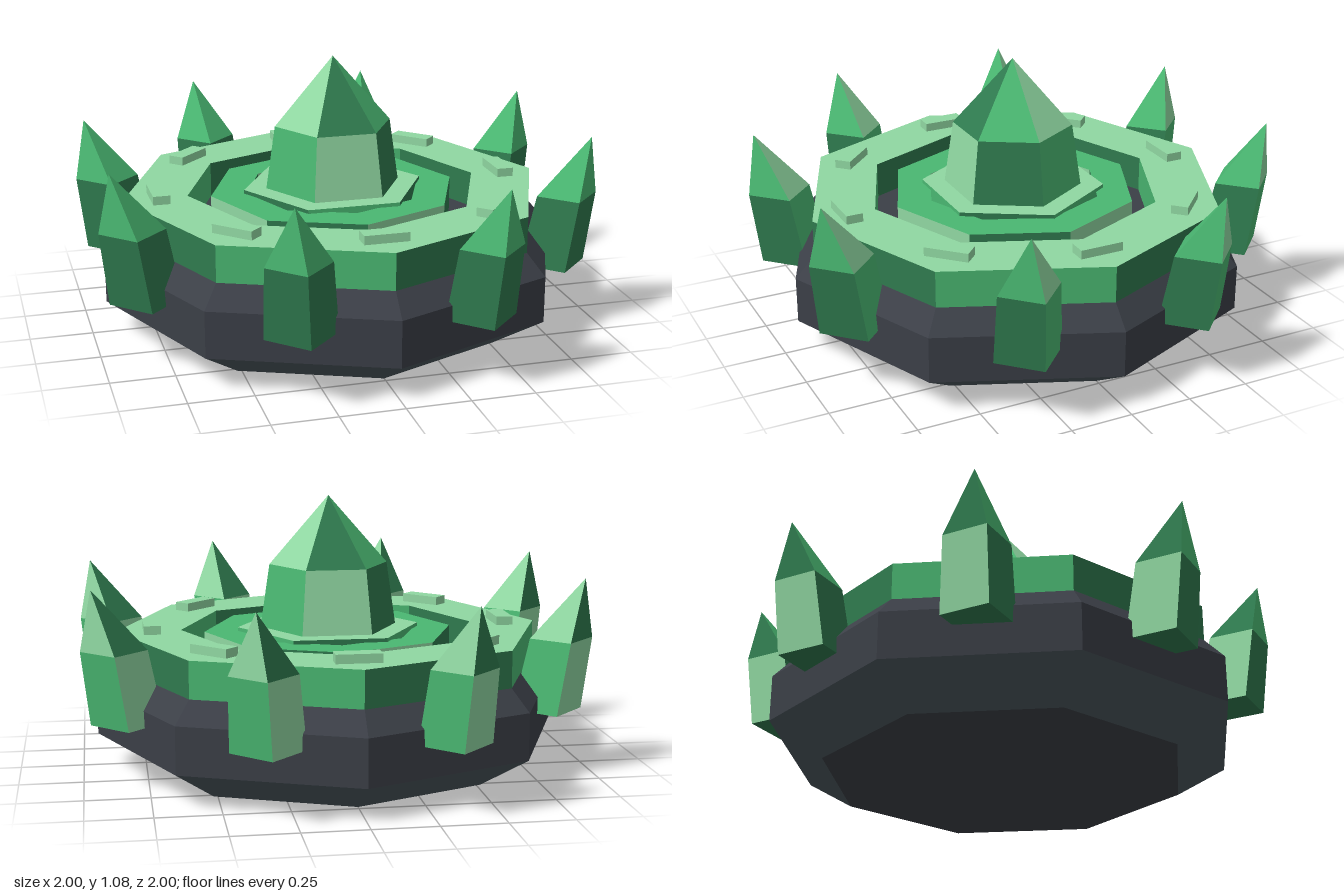
import * as THREE from 'three';

const COLORS = { darkGreen: 0x2f7a4e, midGreen: 0x4ab872, paleGreen: 0x90d8a2, stone: 0x3b3f47, slate: 0x4a565c };
const D = 0, M = 1, P = 2, STONE = 3, SLATE = 4;

// Faceted solid through a stack of polygon rings [radius, y, x, z];
// pick(row, side) gives the colour of each face.
function facets(rings, sides, start, pick) {
  const pos = [];
  const geo = new THREE.BufferGeometry();
  const at = ([r, y, x = 0, z = 0], s) => {
    const a = start + (s / sides) * Math.PI * 2;
    return [x + r * Math.sin(a), y, z + r * Math.cos(a)];
  };
  for (let i = 0; i < rings.length - 1; i++) {
    for (let s = 0; s < sides; s++) {
      const a = at(rings[i], s), b = at(rings[i], s + 1);
      const c = at(rings[i + 1], s + 1), d = at(rings[i + 1], s);
      const first = pos.length / 3;
      if (rings[i][0] > 0) pos.push(...a, ...b, ...c);
      if (rings[i + 1][0] > 0) pos.push(...a, ...c, ...d);
      geo.addGroup(first, pos.length / 3 - first, pick(i, s));
    }
  }
  geo.setAttribute('position', new THREE.Float32BufferAttribute(pos, 3));
  geo.computeVertexNormals();
  return geo;
}

export function createModel() {
  const model = new THREE.Group();
  model.name = 'crystalPedestal';
  const mats = Object.entries(COLORS).map(([name, color]) => {
    const m = new THREE.MeshStandardMaterial({ color });
    m.name = name;
    return m;
  });
  const add = (name, geo, mat = mats) => {
    const mesh = new THREE.Mesh(geo, mat);
    mesh.name = name;
    model.add(mesh);
    return mesh;
  };

  // Octagonal stone base with bevelled foot and shoulder
  add('stoneBase', facets([[0, 0], [0.73, 0], [0.94, 0.13], [0.94, 0.315], [0.86, 0.4], [0, 0.4]], 8, 0,
    (row) => (row === 1 ? SLATE : STONE)));

  // Octagonal rings: one colour on top, the two others alternating on the walls
  const ring = (name, inner, outer, y0, y1, top) => add(name,
    facets([[inner, y0], [outer, y0], [outer, y1], [inner, y1], [inner, y0]], 8, 0,
      (row, s) => (row === 2 ? top : (top + 1 + (s % 2)) % 3)));
  ring('outerRing', 0.6, 0.86, 0.4, 0.545, P);
  ring('innerRing', 0.36, 0.505, 0.4, 0.535, M);

  // Hexagonal bed under the main crystal
  const hexStart = Math.PI / 6;
  add('crystalBed', facets([[0.37, 0.4], [0.37, 0.55], [0, 0.55]], 6, hexStart,
    (row, s) => (row === 1 ? P : s % 2)));

  // Crystal colours step through the three greens, shifted by one on the tip
  const crystalColor = (row, s) => (row === 0 ? D : (s + row - 1) % 3);

  // Main crystal
  add('mainCrystal', facets([[0, 0.5], [0.285, 0.5], [0.24, 0.805], [0, 1.08]], 6, hexStart, crystalColor));

  for (let k = 0; k < 8; k++) {
    // Raised studs on the outer ring
    const a = (k * Math.PI) / 4;
    const stud = add('stud', new THREE.BoxGeometry(0.175, 0.05, 0.068), mats[P]);
    stud.position.set(0.717 * Math.sin(a), 0.555, 0.717 * Math.cos(a));
    stud.rotation.y = a;

    // Outward-leaning crystals around the rim
    const b = a + Math.PI / 8;
    const level = (r, y, dist) => [r, y, dist * Math.sin(b), dist * Math.cos(b)];
    add('rimCrystal', facets([level(0, 0.25, 0.895), level(0.14, 0.25, 0.895),
      level(0.127, 0.54, 0.945), level(0, 0.78, 1.034)], 4, 0, crystalColor));
  }
  return model;
}
